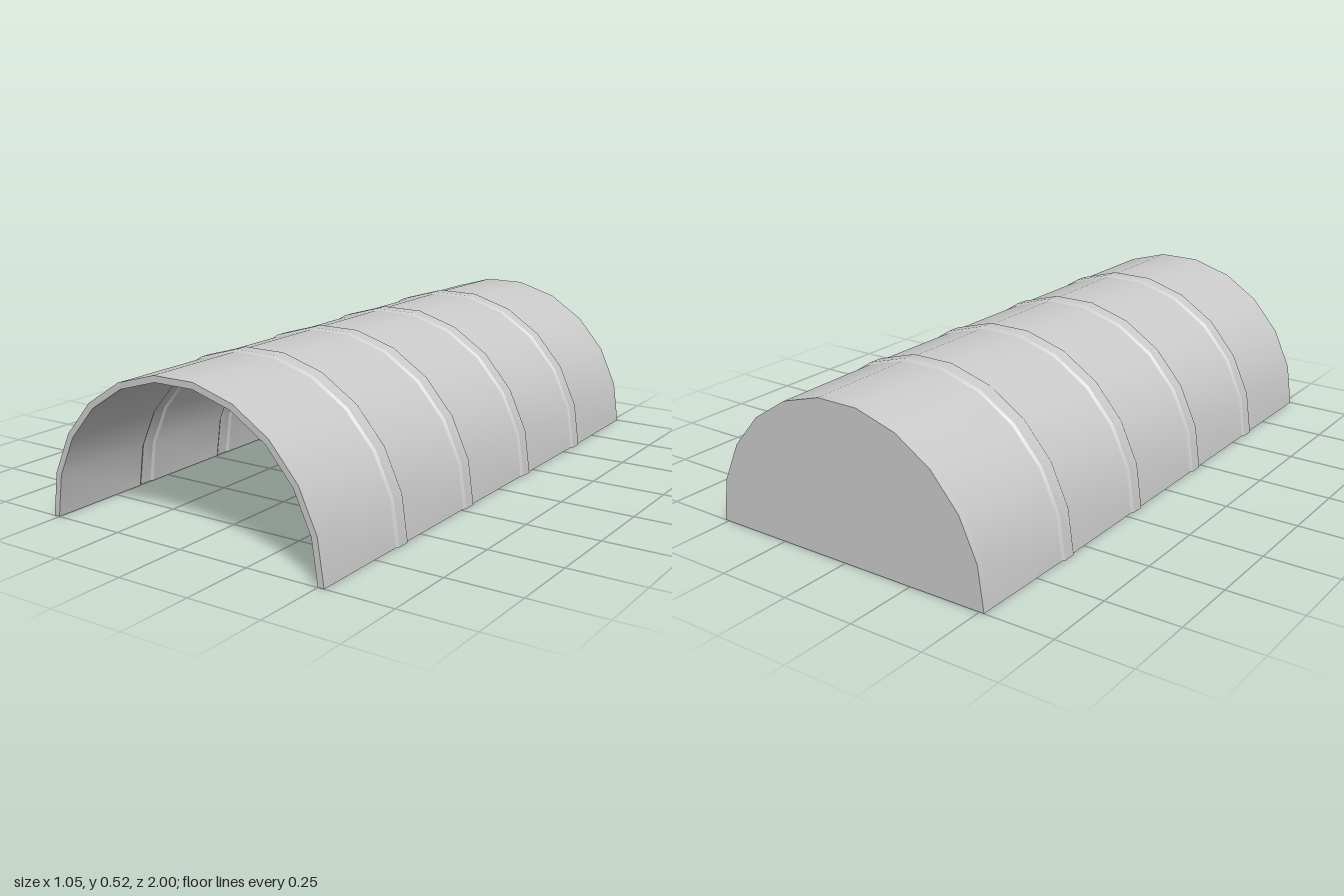
import * as THREE from 'three';
import { toCreasedNormals } from 'three/addons/utils/BufferGeometryUtils.js';

const SEGMENTS = 11;
const RIB_CENTERS = [0.605, 0.207, -0.19, -0.59];
const OUTER = 0.521, INNER = 0.5, BACK_OUTER = 0.516;
const RIB_HEIGHT = 0.006, WALL_Z = -0.98;

// Sweep a (z, radius) profile through half a turn to form an arch with closed feet
function arch(name, points, material) {
  const shape = new THREE.Shape(points.map(([z, r]) => new THREE.Vector2(z, r)));
  const geometry = new THREE.ExtrudeGeometry(shape, {
    depth: Math.PI, steps: SEGMENTS, bevelEnabled: false,
  });
  const p = geometry.attributes.position;
  for (let i = 0; i < p.count; i++) {
    const z = p.getX(i), r = p.getY(i), a = p.getZ(i);
    p.setXYZ(i, r * Math.cos(a), r * Math.sin(a), z);
  }
  geometry.deleteAttribute('uv');
  const mesh = new THREE.Mesh(toCreasedNormals(geometry, 0.4), material);
  mesh.name = name;
  return mesh;
}

// One skin of the corrugated shell from front to back, raised at each rib
function skin(radius, backRadius) {
  const points = [[1, radius]];
  for (const c of RIB_CENTERS) {
    points.push(
      [c + 0.032, radius],
      [c + 0.023, radius + RIB_HEIGHT],
      [c - 0.023, radius + RIB_HEIGHT],
      [c - 0.032, radius],
    );
  }
  points.push([WALL_Z, backRadius]);
  return points;
}

export function createModel() {
  const model = new THREE.Group();
  model.name = 'archedShelter';
  const material = new THREE.MeshStandardMaterial({ color: 0xcccccc });

  // Ribbed vault, open at the front and underneath
  const profile = [...skin(INNER, INNER), ...skin(OUTER, BACK_OUTER).reverse()];
  model.add(arch('ribbedVault', profile, material));

  // Solid half-round wall closing the back
  model.add(arch('backWall', [
    [-1, 0], [WALL_Z, 0], [WALL_Z, BACK_OUTER], [-1, BACK_OUTER],
  ], material));

  return model;
}
